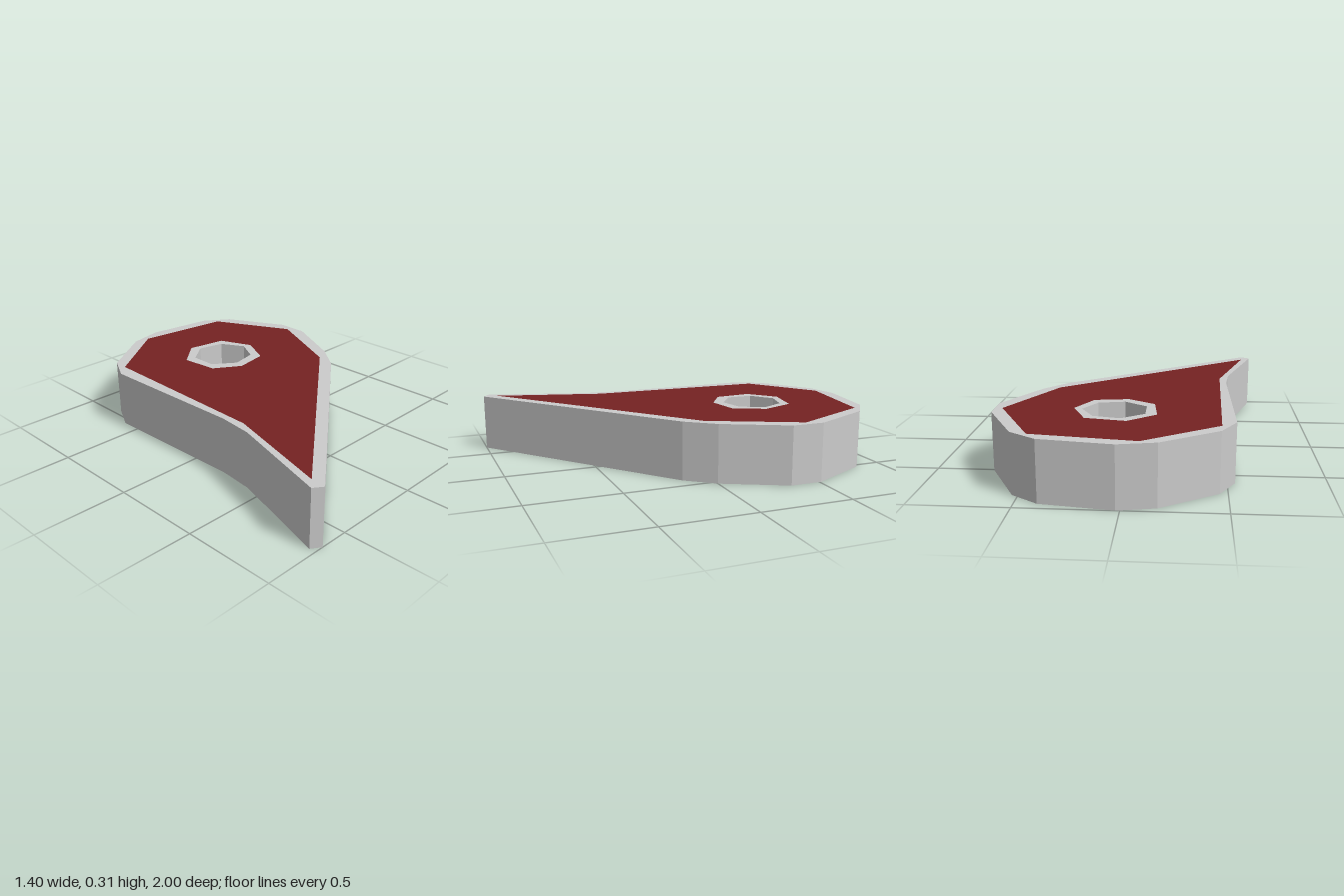
import * as THREE from 'three';

const HEIGHT = 0.315;

// Outlines as [x, z], clockwise seen from above
const OUTER = [[0.02, -1], [0.39, -0.945], [0.53, -0.845], [0.7, -0.51], [0.7, -0.335], [0.53, 0], [0.41, 0.15],
  [-0.655, 1], [-0.705, 0.965], [-0.54, 0.41], [-0.52, 0.22], [-0.54, -0.61], [-0.46, -0.76], [-0.17, -0.96]];
const MEAT = [[-0.085, -0.945], [0.445, -0.87], [0.662, -0.43], [0.437, 0.04], [-0.65, 0.92], [-0.485, 0.33], [-0.465, -0.675]];
const BONE = [[0, -0.625], [0.215, -0.585], [0.29, -0.4], [0.205, -0.23], [0.02, -0.2], [-0.125, -0.295], [-0.145, -0.5]];
const HOLE = [[0.035, -0.58], [0.178, -0.545], [0.247, -0.415], [0.178, -0.287], [0.035, -0.256], [-0.085, -0.345], [-0.085, -0.49]];

// Flat horizontal face with one hole, facing up (dir 1) or down (dir -1)
function flatFace(outline, hole, y, dir) {
  const toPoints = (loop) => loop.map(([x, z]) => new THREE.Vector2(x, -dir * z));
  const shape = new THREE.Shape(toPoints(outline));
  shape.holes.push(new THREE.Path(toPoints(hole)));
  return new THREE.ShapeGeometry(shape).rotateX(-dir * Math.PI / 2).translate(0, y, 0);
}

// Faceted vertical wall around a clockwise loop, facing outward
function wall(loop) {
  const positions = [];
  loop.forEach(([ax, az], i) => {
    const [bx, bz] = loop[(i + 1) % loop.length];
    positions.push(bx, 0, bz, ax, 0, az, ax, HEIGHT, az);
    positions.push(bx, 0, bz, ax, HEIGHT, az, bx, HEIGHT, bz);
  });
  const geometry = new THREE.BufferGeometry();
  geometry.setAttribute('position', new THREE.Float32BufferAttribute(positions, 3));
  geometry.computeVertexNormals();
  return geometry;
}

export function createModel() {
  const group = new THREE.Group();
  group.name = 'steak';
  const grey = new THREE.MeshStandardMaterial({ color: 0xcccccc, flatShading: true });
  const red = new THREE.MeshStandardMaterial({ color: 0x752222, flatShading: true });

  const add = (name, geometry, material) => {
    const mesh = new THREE.Mesh(geometry, material);
    mesh.name = name;
    group.add(mesh);
  };

  // Fat around the edge
  add('fatSide', wall(OUTER), grey);
  add('fatRim', flatFace(OUTER, MEAT, HEIGHT, 1), grey);

  // Bone ring with its open centre
  add('boneRim', flatFace(BONE, HOLE, HEIGHT, 1), grey);
  add('boneHole', wall([...HOLE].reverse()), grey);

  // Meat on top and across the whole underside
  add('meatTop', flatFace(MEAT, BONE, HEIGHT, 1), red);
  add('meatUnderside', flatFace(OUTER, HOLE, 0, -1), red);

  return group;
}
